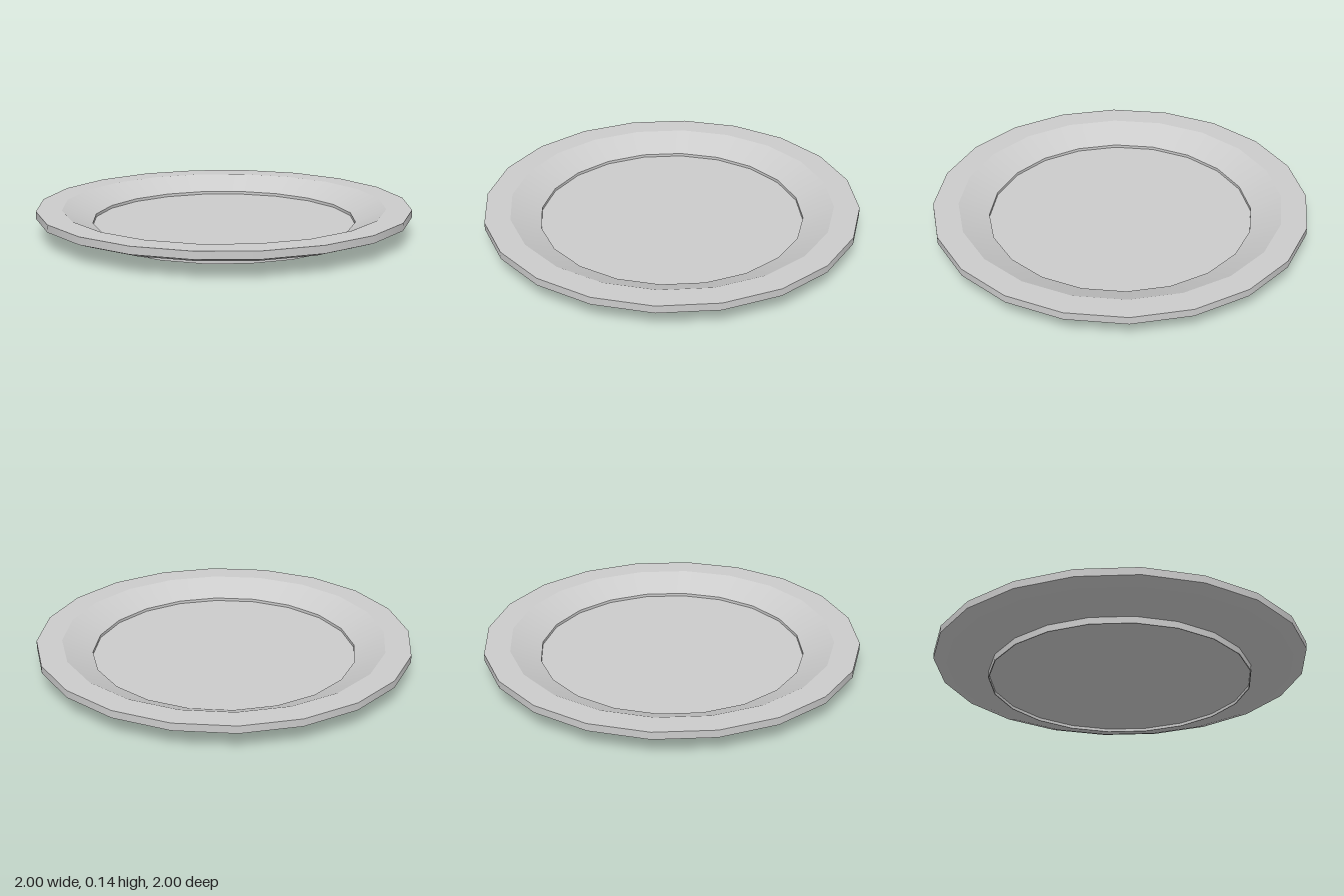
import * as THREE from 'three';

const SIDES = 20;

export function createModel() {
  const plate = new THREE.Group();
  plate.name = 'plate';
  const grey = new THREE.MeshStandardMaterial({ color: 0xcccccc });
  grey.name = 'light grey';

  // Each band is turned separately: smooth around, crisp where bands meet.
  // Profiles run from the bottom centre outwards, up and back to the top centre.
  const bands = {
    base: [[0, 0.017], [0.7, 0.017]],
    footInnerWall: [[0.7, 0.017], [0.7, 0]],
    footEdge: [[0.7, 0], [0.705, 0]],
    footOuterWall: [[0.705, 0], [0.705, 0.036]],
    underside: [[0.705, 0.036], [0.925, 0.073], [1, 0.1]],
    rimWall: [[1, 0.1], [1, 0.14]],
    rimTop: [[1, 0.14], [0.865, 0.14]],
    innerSlope: [[0.865, 0.14], [0.705, 0.066]],
    floorStep: [[0.705, 0.066], [0.705, 0.05]],
    floor: [[0.705, 0.05], [0, 0.05]],
  };

  for (const [name, profile] of Object.entries(bands)) {
    const points = profile.map(([r, y]) => new THREE.Vector2(r, y));
    const mesh = new THREE.Mesh(new THREE.LatheGeometry(points, SIDES), grey);
    mesh.name = name;
    plate.add(mesh);
  }
  return plate;
}
